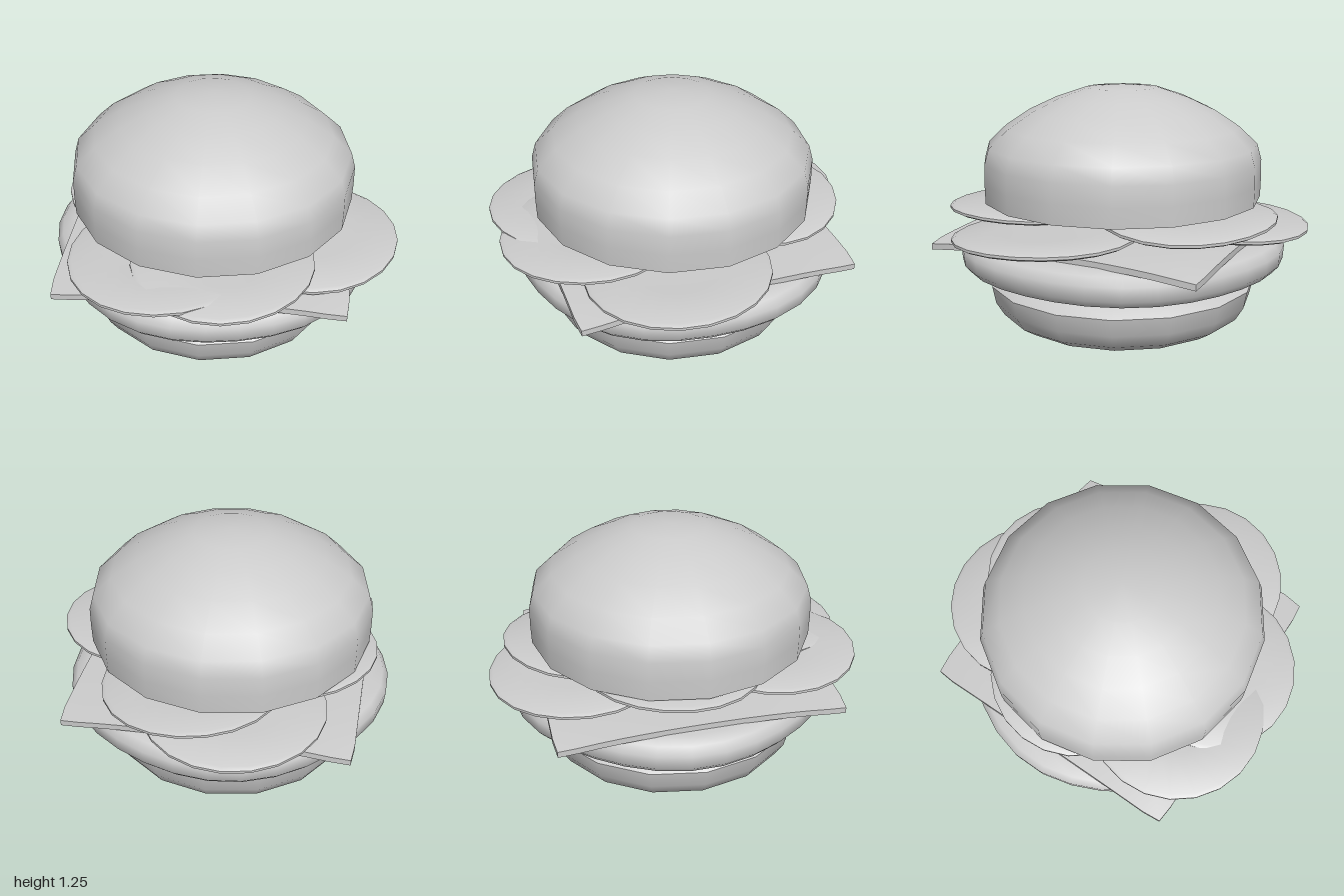
import * as THREE from 'three';
import { toCreasedNormals } from 'three/addons/utils/BufferGeometryUtils.js';

const material = new THREE.MeshStandardMaterial({ color: 0xcccccc });

// Moves every vertex by a rule that edits the vector in place
function warp(geometry, rule) {
  const p = geometry.attributes.position;
  const v = new THREE.Vector3();
  for (let i = 0; i < p.count; i++) {
    v.fromBufferAttribute(p, i);
    rule(v);
    p.setXYZ(i, v.x, v.y, v.z);
  }
  return geometry;
}

// Round layer from a profile of [radius, height], listed from bottom to top
function turned(profile, segments, start = 0) {
  const points = profile.map(([r, y]) => new THREE.Vector2(r, y));
  return new THREE.LatheGeometry(points, segments, start);
}

function addPart(group, name, geometry) {
  const mesh = new THREE.Mesh(toCreasedNormals(geometry, 0.95), material);
  mesh.name = name;
  group.add(mesh);
  return mesh;
}

// Thin round slice with a softened rim and a gentle ripple
function sliceGeometry(radius, ripple, phase) {
  const h = 0.017;
  const geometry = turned([
    [0, -h], [radius * 0.5, -h], [radius - 0.02, -h], [radius, -h * 0.4],
    [radius, h * 0.4], [radius - 0.02, h], [radius * 0.5, h], [0, h],
  ], 22);
  return warp(geometry, (v) => {
    const r = Math.hypot(v.x, v.z) / radius;
    v.y += ripple * r * r * Math.sin(2 * Math.atan2(v.x, v.z) + phase);
  });
}

export function createModel() {
  const burger = new THREE.Group();
  burger.name = 'burger';

  // Buns share the same sixteen-sided turn
  const bunStart = 0.135;
  addPart(burger, 'bottomBun', turned([
    [0, 0], [0.4, 0], [0.58, 0.015], [0.65, 0.06], [0.692, 0.13],
    [0.71, 0.22], [0.63, 0.28], [0.5, 0.3], [0, 0.3],
  ], 16, bunStart));
  addPart(burger, 'topBun', turned([
    [0, 0.66], [0.4, 0.66], [0.728, 0.662], [0.73, 0.76], [0.728, 0.86], [0.705, 0.94],
    [0.61, 1.03], [0.48, 1.115], [0.34, 1.18], [0.19, 1.23], [0, 1.246],
  ], 16, bunStart));

  // Patty with a slightly uneven outline
  const patty = turned([
    [0, 0.305], [0.5, 0.305], [0.74, 0.308], [0.81, 0.325], [0.84, 0.36],
    [0.845, 0.43], [0.815, 0.47], [0.75, 0.488], [0.5, 0.49], [0, 0.49],
  ], 32);
  addPart(burger, 'patty', warp(patty, (v) => {
    const a = Math.atan2(v.x, v.z);
    const k = 1 + 0.012 * Math.sin(5 * a + 0.6) + 0.01 * Math.sin(a);
    v.x *= k;
    v.z *= k;
  }));

  // Square cheese sheet, turned, with drooping and slightly blunt corners
  const cheese = new THREE.BoxGeometry(1.44, 0.03, 1.44, 14, 1, 14);
  cheese.rotateY(-0.656);
  addPart(burger, 'cheese', warp(cheese, (v) => {
    const r = Math.hypot(v.x, v.z);
    const blunt = r > 0.95 ? (0.95 + (r - 0.95) * 0.8) / r : 1;
    v.x *= blunt;
    v.z *= blunt;
    v.y += 0.515 - 0.048 * Math.pow(r, 4);
  }));

  // Overlapping slices: x, y, z, radius, tilt about x, tilt about z, ripple, phase
  const slices = [
    [0.3, 0.547, 0.44, 0.46, 0.02, 0.02, 0.007, 0],
    [0.22, 0.56, -0.47, 0.46, -0.06, 0, 0.007, 1],
    [-0.45, 0.575, 0.25, 0.46, 0, -0.02, 0.012, 2],
    [-0.22, 0.588, 0.45, 0.45, 0.02, 0, 0.012, 0.5],
    [0.34, 0.61, -0.26, 0.455, 0, -0.03, 0.016, 2.5],
    [-0.22, 0.63, -0.25, 0.45, 0, -0.015, 0.012, 1.2],
  ];
  const stack = new THREE.Group();
  stack.name = 'slices';
  burger.add(stack);
  slices.forEach(([x, y, z, radius, tiltX, tiltZ, ripple, phase], i) => {
    const slice = addPart(stack, `slice${i + 1}`, sliceGeometry(radius, ripple, phase));
    slice.position.set(x, y, z);
    slice.rotation.set(tiltX, 0, tiltZ);
  });

  return burger;
}
